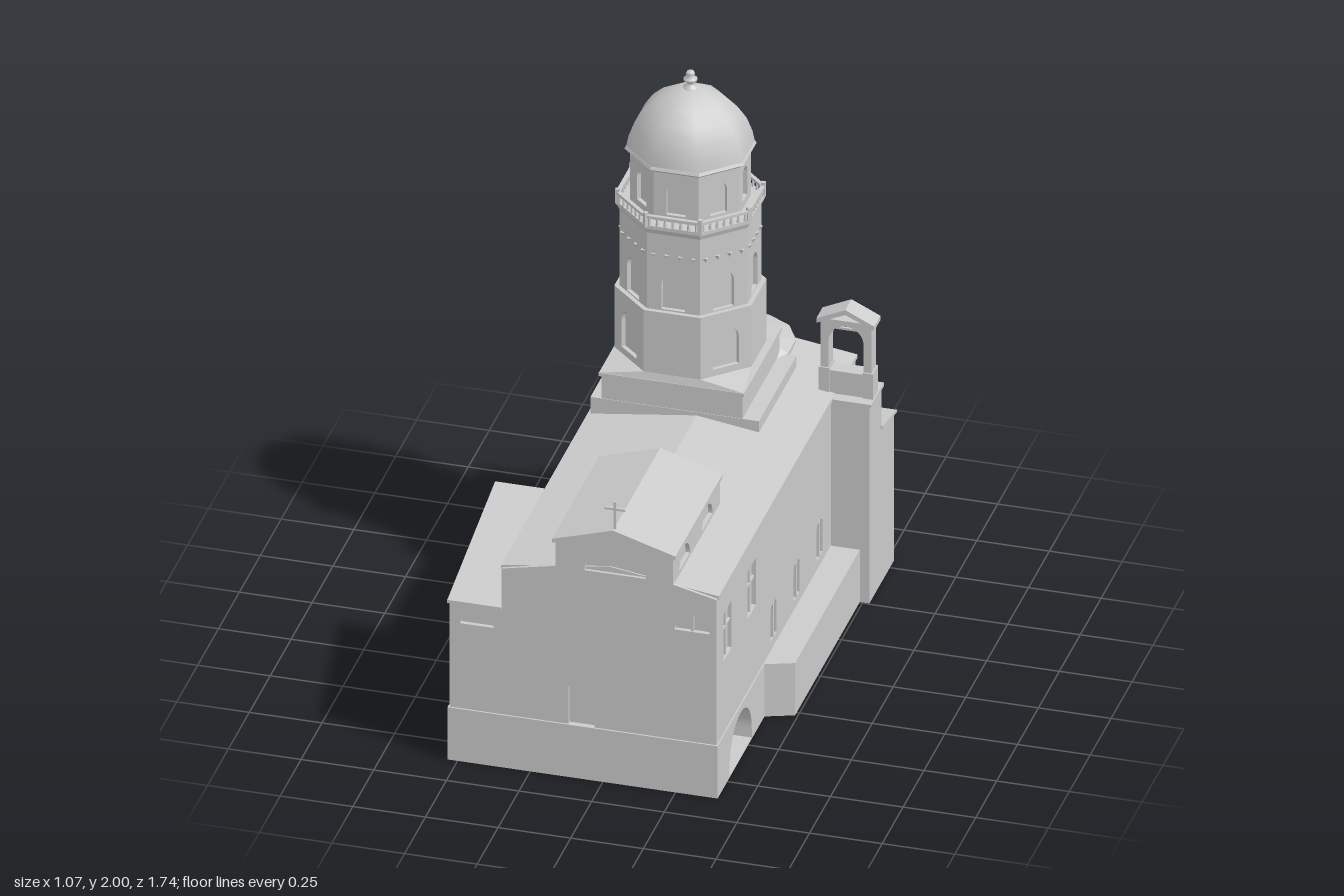
import * as THREE from 'three';
import { ConvexGeometry } from 'three/addons/geometries/ConvexGeometry.js';

const flat = new THREE.MeshStandardMaterial({ color: 0xcccccc, flatShading: true });
const smooth = new THREE.MeshStandardMaterial({ color: 0xcccccc });
const T = 0.015; // depth of window recesses
const Q = Math.PI / 2;
const C8 = Math.cos(Math.PI / 8), T8 = Math.tan(Math.PI / 8);

function add(parent, name, geo, x = 0, y = 0, z = 0, ry = 0, mat = flat) {
  const m = new THREE.Mesh(geo, mat);
  m.name = name;
  m.position.set(x, y, z);
  m.rotation.y = ry;
  parent.add(m);
  return m;
}
// Box given by its limits
function block(parent, name, x0, x1, y0, y1, z0, z1) {
  return add(parent, name, new THREE.BoxGeometry(x1 - x0, y1 - y0, z1 - z0),
    (x0 + x1) / 2, (y0 + y1) / 2, (z0 + z1) / 2);
}
// Extruded outline whose outer face lies at the given position, facing ry
function panel(parent, name, pts, holes, depth, x, y, z, ry) {
  const s = new THREE.Shape(pts.map(p => new THREE.Vector2(p[0], p[1])));
  s.holes = holes;
  const g = new THREE.ExtrudeGeometry(s, { depth, bevelEnabled: false, curveSegments: 14 });
  g.translate(0, 0, -depth);
  return add(parent, name, g, x, y, z, ry);
}
const rect = (u0, u1, v0, v1) => [[u0, v0], [u1, v0], [u1, v1], [u0, v1]];
const rectHole = (u0, u1, v0, v1) => new THREE.Path(rect(u0, u1, v0, v1).map(p => new THREE.Vector2(...p)));
// Round-headed opening; h = w / 2 gives a half circle
function arch(u, v, w, h) {
  const p = new THREE.Path();
  p.moveTo(u - w / 2, v);
  p.lineTo(u + w / 2, v);
  p.absarc(u, v + h - w / 2, w / 2, 0, Math.PI, false);
  return p;
}
const twin = u => [arch(u - 0.019, 0.235, 0.03, 0.13), arch(u + 0.019, 0.235, 0.03, 0.13)];
// Octagonal prism with flats facing the axes, given by apothem
function octagon(parent, name, a0, a1, y0, y1) {
  const g = new THREE.CylinderGeometry(a1 / C8, a0 / C8, y1 - y0, 8);
  g.rotateY(Math.PI / 8);
  return add(parent, name, g, 0, (y0 + y1) / 2, 0);
}

function buildNave(g) {
  const gate = s => arch(s * 0.59, 0.005, 0.265, 0.17);
  const side = s => rect(s > 0 ? -0.8 : -0.86, s > 0 ? 0.86 : 0.8, 0, 0.755);
  // Core with the vaulted passage running through it
  panel(g, 'naveCore', rect(-0.845, 0.785, 0, 0.755), [gate(-1)], 0.71, 0.375, 0, 0, Q);
  panel(g, 'rightWall', side(-1), [gate(-1), rectHole(-0.78, -0.68, 0.475, 0.655),
    rectHole(-0.49, -0.39, 0.475, 0.655), ...[0.18, -0.095, -0.37].flatMap(z => twin(-z))], T, 0.39, 0, 0, Q);
  panel(g, 'leftWall', side(1), [gate(1), ...[0.16, -0.12, -0.39].flatMap(z => twin(z))], T, -0.35, 0, 0, -Q);
  panel(g, 'backWall', rect(-0.39, 0.35, 0, 0.755), [arch(-0.31, 0.2, 0.08, 0.2)], T, 0, 0, -0.8, Math.PI);
  panel(g, 'frontWall', [[-0.35, 0], [0.39, 0], [0.39, 0.755], [0.24, 0.79], [0.24, 0.89], [0.035, 0.95],
    [-0.165, 0.89], [-0.165, 0.797], [-0.35, 0.757]],
    [arch(0.04, 0.797, 0.21, 0.105), arch(0.305, 0.62, 0.12, 0.06), rectHole(-0.12, -0.03, 0.2, 0.345)],
    T, 0, 0, 0.86, 0);
  panel(g, 'naveRoof', [[-0.355, 0.75], [0.395, 0.75], [0.395, 0.765], [0.02, 0.818], [-0.355, 0.765]], [],
    1.655, 0, 0, 0.85, 0);
  // Window bars
  for (const z of [0.73, 0.44]) {
    block(g, 'windowBar', 0.374, 0.384, 0.475, 0.655, z - 0.004, z + 0.004);
    block(g, 'windowBar', 0.374, 0.384, 0.58, 0.588, z - 0.05, z + 0.05);
  }
  block(g, 'windowBar', 0.301, 0.309, 0.62, 0.68, 0.844, 0.856);
  // Columns and hood of the back window
  for (const x of [0.265, 0.31, 0.355]) block(g, 'windowColumn', x - 0.006, x + 0.006, 0.2, 0.35, -0.808, -0.784);
  panel(g, 'windowHood', rect(-0.365, -0.255, 0.19, 0.415), [arch(-0.31, 0.2, 0.08, 0.2)], 0.008, 0, 0, -0.807, Math.PI);

  // Raised gabled clerestory over the front
  panel(g, 'clerestoryCore', [[-0.15, 0.76], [0.225, 0.76], [0.225, 0.893], [0.035, 0.95], [-0.15, 0.893]], [],
    0.545, 0, 0, 0.845, 0);
  for (const s of [1, -1]) {
    const hole = z => arch(-s * z, 0.8, 0.125, 0.0625);
    panel(g, 'clerestoryWall', s > 0 ? rect(-0.86, -0.3, 0.76, 0.893) : rect(0.3, 0.86, 0.76, 0.893),
      [hole(0.72), hole(0.45)], T, s > 0 ? 0.24 : -0.165, 0, 0, s * Q);
  }
  panel(g, 'clerestoryRoof', [[-0.175, 0.888], [0.035, 0.95], [0.25, 0.888], [0.25, 0.903], [0.035, 0.968], [-0.175, 0.903]],
    [], 0.565, 0, 0, 0.867, 0);
  block(g, 'crossPost', 0.034, 0.042, 0.95, 1.07, 0.846, 0.854);
  block(g, 'crossArm', 0.003, 0.073, 1.038, 1.046, 0.846, 0.854);

  // Side wing with a roof rising to the back
  panel(g, 'wingCore', [[-0.845, 0], [-0.3, 0], [-0.3, 0.735], [-0.845, 0.605]], [gate(-1)], 0.165, -0.35, 0, 0, Q);
  panel(g, 'wingOuterWall', [[0.3, 0], [0.86, 0], [0.86, 0.6], [0.3, 0.735]],
    [gate(1), rectHole(0.37, 0.46, 0.41, 0.56), rectHole(0.64, 0.73, 0.39, 0.54)], T, -0.53, 0, 0, -Q);
  panel(g, 'wingFrontWall', rect(-0.53, -0.35, 0, 0.6), [arch(-0.435, 0.525, 0.116, 0.058)], T, 0, 0, 0.86, 0);
  panel(g, 'wingRoof', [[-0.868, 0.6], [-0.295, 0.735], [-0.295, 0.745], [-0.868, 0.612]], [], 0.187, -0.348, 0, 0, Q);
  for (const z of [0.415, 0.685]) block(g, 'wingWindowBar', -0.526, -0.512, 0.39, 0.56, z - 0.004, z + 0.004);

  // Plinth band
  block(g, 'frontPlinth', -0.535, 0.395, 0, 0.2, 0.855, 0.866);
  panel(g, 'rightPlinth', rect(-0.866, 0.5, 0, 0.2), [gate(-1)], 0.01, 0.395, 0, 0, Q);
  panel(g, 'wingPlinth', rect(0.295, 0.866, 0, 0.2), [gate(1)], 0.01, -0.535, 0, 0, -Q);
  block(g, 'leftPlinth', -0.357, -0.34, 0, 0.16, -0.54, 0.3);

  // Low terrace along the right wall with a slanted end
  const terrace = panel(g, 'terrace', [[0.38, -0.31], [0.49, -0.27], [0.49, 0.52], [0.38, 0.52]], [], 0.2, 0, 0.2, 0, 0);
  terrace.rotation.x = -Q;
}

function buildAnnex(g) {
  block(g, 'annexTall', 0.36, 0.523, 0, 0.75, -0.65, -0.505);
  block(g, 'annexEave', 0.355, 0.53, 0.75, 0.763, -0.655, -0.5);
  panel(g, 'annexLow', [[0.64, 0], [0.785, 0], [0.785, 0.565], [0.64, 0.59]], [], 0.163, 0.523, 0, 0, Q);
  panel(g, 'annexBackWall', rect(-0.523, -0.385, 0, 0.565), [rectHole(-0.48, -0.42, 0.42, 0.53)], T, 0, 0, -0.8, Math.PI);
  panel(g, 'annexLowRoof', [[0.64, 0.592], [0.808, 0.563], [0.808, 0.573], [0.64, 0.605]], [], 0.15, 0.53, 0, 0, Q);
  for (const y of [0.445, 0.475, 0.505]) block(g, 'annexWindowBar', 0.42, 0.48, y - 0.003, y + 0.003, -0.797, -0.783);
  block(g, 'annexWindowBar', 0.447, 0.453, 0.42, 0.53, -0.797, -0.783);

  // Open bell frame
  panel(g, 'bellFrame', rect(0.345, 0.52, 0.76, 1.045), [arch(0.4325, 0.85, 0.12, 0.175)], 0.055, 0, 0, -0.54, 0);
  for (const x of [0.357, 0.508]) block(g, 'bellPier', x - 0.018, x + 0.018, 0.76, 0.86, -0.6, -0.535);
  panel(g, 'bellRoof', [[0.333, 1.03], [0.4325, 1.075], [0.532, 1.03], [0.532, 1.047], [0.4325, 1.094], [0.333, 1.047]],
    [], 0.075, 0, 0, -0.53, 0);
  block(g, 'bellBar', 0.365, 0.5, 0.997, 1.005, -0.572, -0.564);
}

function buildApse(g) {
  const a = new THREE.Group();
  a.name = 'apse';
  a.position.set(0.025, 0, -0.69);
  g.add(a);
  add(a, 'apseWall', new THREE.CylinderGeometry(0.175, 0.175, 0.82, 12), 0, 0.41, 0, Math.PI / 12);
  const pts = [new THREE.Vector3(-0.05, 0.915, 0.08), new THREE.Vector3(0.05, 0.915, 0.08)];
  for (let i = 0; i < 12; i++) {
    const t = (i + 0.5) * Math.PI / 6;
    for (const y of [0.818, 0.83]) pts.push(new THREE.Vector3(0.185 * Math.sin(t), y, 0.185 * Math.cos(t)));
  }
  add(a, 'apseRoof', new ConvexGeometry(pts));
  panel(a, 'apseWindowFrame', rect(-0.035, 0.035, 0.4, 0.53), [arch(0, 0.41, 0.045, 0.105)], 0.014, 0, 0, -0.178, Math.PI);
}

function buildTower(g) {
  const t = new THREE.Group();
  t.name = 'tower';
  t.position.set(-0.065, 0, -0.408);
  t.scale.z = 0.93;
  g.add(t);
  // Stepped square base turning into an octagon
  block(t, 'baseStep', -0.28, 0.3, 0.74, 0.83, -0.243, 0.24);
  block(t, 'basePedestal', -0.243, 0.243, 0.83, 0.92, -0.238, 0.238);
  block(t, 'baseCap', -0.25, 0.25, 0.918, 0.93, -0.246, 0.246);
  const pts = [];
  for (let i = 0; i < 8; i++) {
    const a = (i + 0.5) * Math.PI / 4, r = 0.236 / C8;
    pts.push(new THREE.Vector3(r * Math.sin(a), 0.955, r * Math.cos(a)));
    if (i % 2) pts.push(new THREE.Vector3(i < 4 ? 0.248 : -0.248, 0.93, i % 4 === 1 ? 0.244 : -0.244));
  }
  for (const [x, z] of [[1, 1], [1, -1], [-1, 1], [-1, -1]]) pts.push(new THREE.Vector3(x * 0.248, 0.93, z * 0.244));
  add(t, 'cornerRoofs', new ConvexGeometry(pts));

  // Eight-sided storeys with recessed arches on chosen faces
  const tier = (name, ap, y0, y1, w, v, h, faces) => {
    octagon(t, name + 'Core', ap - T, ap - T, y0, y1);
    const half = ap * T8;
    for (let k = 0; k < 8; k++) {
      const a = k * Math.PI / 4;
      panel(t, name + 'Face', rect(-half, half, y0, y1), faces.includes(k) ? [arch(0, v, w, h)] : [], T,
        ap * Math.sin(a), 0, ap * Math.cos(a), a);
    }
  };
  const all = [0, 1, 2, 3, 4, 5, 6, 7];
  tier('lowerTier', 0.236, 0.93, 1.19, 0.1, 0.98, 0.15, [1, 4, 7]);
  tier('middleTier', 0.22, 1.19, 1.49, 0.08, 1.195, 0.14, all);
  tier('drum', 0.187, 1.51, 1.71, 0.065, 1.54, 0.12, all);

  // Corbel frieze, gallery floor, rail and balusters
  octagon(t, 'galleryCorbel', 0.218, 0.228, 1.475, 1.5);
  octagon(t, 'galleryFloor', 0.231, 0.231, 1.5, 1.513);
  for (let k = 0; k < 8; k++) {
    const side = new THREE.Group();
    side.name = 'gallerySide';
    side.rotation.y = k * Math.PI / 4;
    t.add(side);
    block(side, 'rail', -0.096, 0.096, 1.54, 1.55, 0.218, 0.232);
    for (let i = 0; i < 7; i++) {
      add(side, 'baluster', new THREE.CylinderGeometry(0.004, 0.006, 0.03, 6), (i - 3) * 0.027, 1.527, 0.225);
    }
    add(side, 'railPost', new THREE.BoxGeometry(0.014, 0.055, 0.014), 0.094, 1.533, 0.226);
    for (let i = 0; i < 4; i++) {
      const c = add(side, 'friezeTooth', new THREE.ConeGeometry(0.012, 0.02, 4), (i - 1.5) * 0.046, 1.395, 0.219);
      c.rotation.x = Math.PI;
    }
  }
  octagon(t, 'cornice', 0.19, 0.205, 1.7, 1.712);
  octagon(t, 'corniceTop', 0.205, 0.2, 1.712, 1.722);

  // Dome and finial
  const lathe = (name, list, n) => add(t, name, new THREE.LatheGeometry(
    list.map(p => new THREE.Vector2(p[0], p[1])), n, Math.PI / n), 0, 0, 0, 0, smooth);
  lathe('dome', [[0.2, 1.718], [0.192, 1.76], [0.174, 1.81], [0.145, 1.855], [0.105, 1.895], [0.06, 1.922],
    [0.025, 1.934], [0, 1.936]].map(([r, y]) => [r / C8, y]), 8);
  lathe('finial', [[0.024, 1.93], [0.024, 1.94], [0.01, 1.945], [0.01, 1.955], [0.023, 1.963], [0.023, 1.972],
    [0.009, 1.978], [0.016, 1.988], [0.012, 1.997], [0, 2]], 12);
}

export function createModel() {
  const g = new THREE.Group();
  g.name = 'church';
  buildNave(g);
  buildAnnex(g);
  buildApse(g);
  buildTower(g);
  return g;
}
